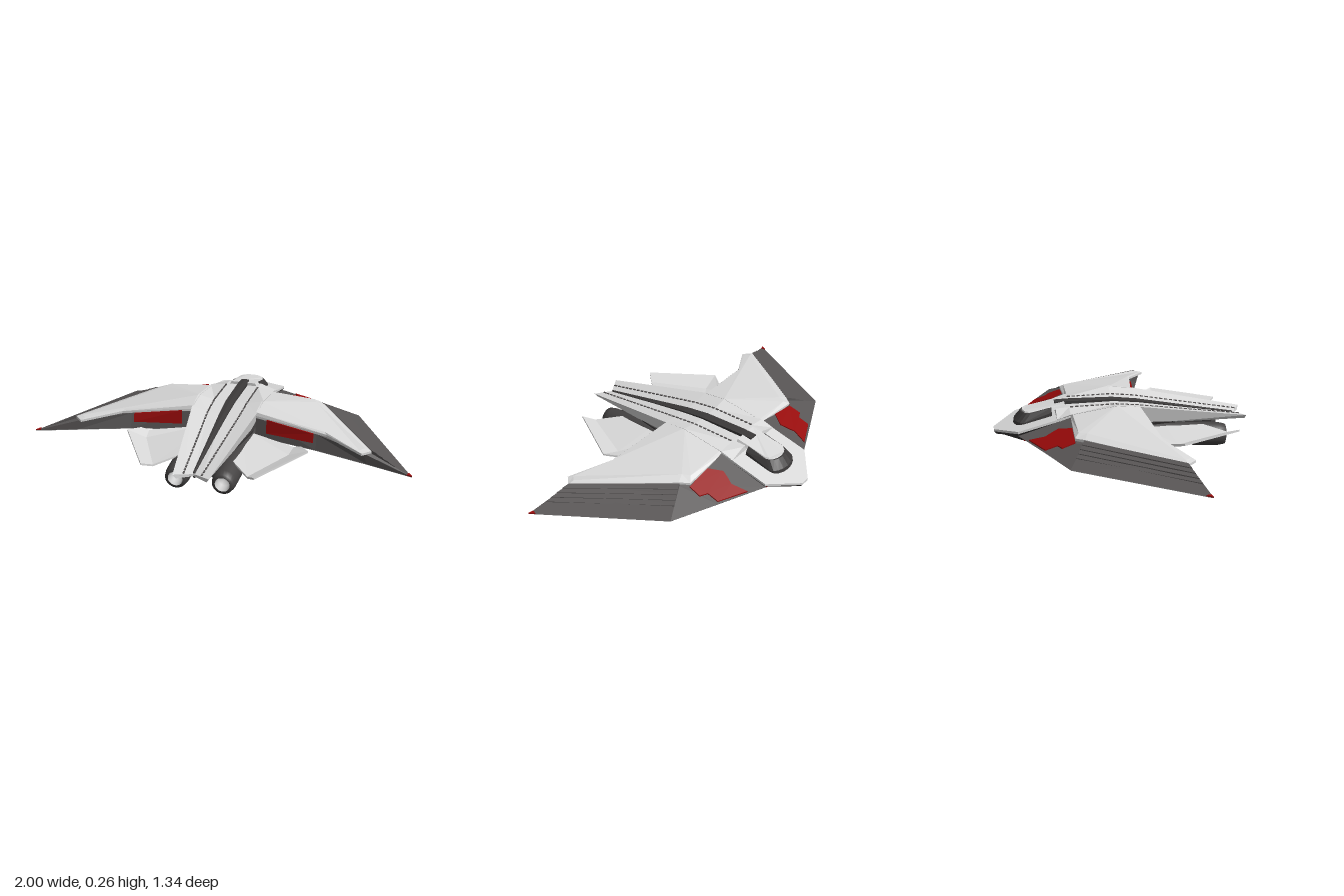
import * as THREE from 'three';

const mat = (name, color, side = THREE.FrontSide, flatShading = true) => {
  const m = new THREE.MeshStandardMaterial({ color, side, flatShading });
  m.name = name;
  return m;
};

// Closed solid skinned through rings of [x, y, z]; axis names the direction the end caps face
function loft(rings, axis = 'y') {
  const out = [];
  const flat = p => new THREE.Vector2(p[0], axis === 'y' ? p[2] : p[1]);
  for (let r = 0; r < rings.length - 1; r++) {
    const A = rings[r], B = rings[r + 1];
    for (let i = 0; i < A.length; i++) {
      const j = (i + 1) % A.length;
      out.push([A[i], A[j], B[j]], [A[i], B[j], B[i]]);
    }
  }
  const cap = (ring, forward) => {
    const pts = ring.map(flat);
    const turn = Math.sign(THREE.ShapeUtils.area(pts));
    for (const [a, b, c] of THREE.ShapeUtils.triangulateShape(pts, [])) {
      const same = Math.sign(THREE.ShapeUtils.area([pts[a], pts[b], pts[c]])) === turn;
      out.push(same === forward ? [ring[a], ring[b], ring[c]] : [ring[a], ring[c], ring[b]]);
    }
  };
  cap(rings[0], false);
  cap(rings[rings.length - 1], true);
  // Turn every face outwards
  let volume = 0;
  for (const [a, b, c] of out) {
    volume += new THREE.Vector3(...a).dot(new THREE.Vector3(...b).cross(new THREE.Vector3(...c)));
  }
  const tris = volume < 0 ? out.map(([a, b, c]) => [a, c, b]) : out;
  const g = new THREE.BufferGeometry();
  g.setAttribute('position', new THREE.Float32BufferAttribute(tris.flat(2), 3));
  g.computeVertexNormals();
  return g;
}

const shift = (ring, dy, dz = 0) => ring.map(([x, y, z]) => [x, y + dy, z + dz]);
const mix = (a, b, t) => a.map((v, i) => v + (b[i] - v) * t);
// Full symmetric ring from a half listed from one centre side to the other
const whole = half => [...half, ...half.slice().reverse().filter(p => p[0] > 1e-6).map(([x, y, z]) => [-x, y, z])];

export function createModel() {
  const group = new THREE.Group();
  const light = mat('lightHull', 0xdadada);
  const dark = mat('darkWing', 0x595656);
  const darker = mat('darkHull', 0x3c3a3a);
  const red = mat('redPaint', 0x980a0a);
  const engineSkin = mat('engineSkin', 0x454343, THREE.DoubleSide, false);
  const nozzleSkin = mat('nozzleLining', 0xc8c8c8, THREE.DoubleSide, false);

  const add = (name, geometry, material) => {
    const m = new THREE.Mesh(geometry, material);
    m.name = name;
    group.add(m);
    return m;
  };
  const both = (name, rings, material, axis) => {
    for (const [side, s] of [['left', 1], ['right', -1]]) {
      add(side + name, loft(rings.map(r => r.map(([x, y, z]) => [s * x, y, z])), axis), material);
    }
  };

  // Dark wing body: sharp outer outline rising to the raised deck
  const wingLow = [[.17, .125, -.55], [.42, .123, -.437], [.65, .115, -.33], [1, .088, .27],
    [.77, .1, .215], [.5, .11, .15], [.17, .12, .09]];
  const wingHigh = [[.17, .215, -.28], [.45, .17, -.28], [.475, .178, -.245], [.785, .157, .2],
    [.75, .155, .21], [.5, .19, .13], [.17, .23, .08]];
  both('WingBody', [wingLow, wingHigh], dark);

  // Light skin under the wing, tucked in from the outline
  const middle = [.5, .1, -.05];
  both('WingUnderside', [wingLow, shift(wingLow.map(p => mix(p, middle, .015)), -.004)], light);

  // Terraced strips between the leading edge and the upper plate
  for (let i = 0; i < 4; i++) {
    const t = .42 + i * .14;
    const ring = [mix(wingLow[2], wingHigh[2], t), mix(wingLow[3], wingHigh[3], t), wingHigh[3], wingHigh[2]];
    both('WingStep' + (i + 1), [shift(ring, -.01), shift(ring, .004 * (i + 1))], dark);
  }

  // Light upper wing plate with a bevelled rim, swept straight out to the tip
  const plateRim = [[.17, .2, -.28], [.44, .182, -.285], [.475, .184, -.24], [.79, .157, .2],
    [.745, .157, .245], [.55, .185, .135], [.17, .222, .085], [.17, .22, -.04]];
  const plateTop = [[.17, .228, -.27], [.41, .212, -.265], [.43, .214, -.225], [.755, .177, .195],
    [.73, .175, .222], [.54, .207, .125], [.17, .252, .08], [.17, .264, -.04]];
  both('WingPlate', [plateRim, shift(plateRim, .012), plateTop], light);

  // Red paint on the front slope, the trailing face and the wing tips
  const slope = [[.26, -.5], [.41, -.43], [.41, -.37], [.45, -.35], [.445, -.285], [.30, -.285], [.255, -.35], [.27, -.39], [.285, -.42]]
    .map(([x, z]) => [x, .215 - .16 * (x - .17) + .333 * (z + .28), z]);
  both('FrontRedPatch', [shift(slope, -.002), shift(slope, .006)], red);
  const face = (t, u) => mix(mix(wingLow[6], wingLow[5], t), mix(wingHigh[6], wingHigh[5], t), u);
  const rear = [face(.18, .3), face(.95, .45), face(.95, 1), face(.18, 1)];
  both('RearRedPatch', [shift(rear, 0, -.001), shift(rear, 0, .008)], red, 'z');
  const tip = [wingLow[3], mix(wingLow[3], wingLow[2], .05), mix(wingLow[3], wingLow[4], .12)];
  both('TipRedPatch', [tip, shift(tip, .006)], red);

  // Nose plate, sloping down to a blunt point, light above and dark below
  const noseRing = whole([[0, 0, -.28], [.18, 0, -.28], [.18, 0, -.55], [.025, 0, -.67]])
    .map(([x, , z]) => [x, .222 + .27 * (z + .28), z]);
  add('nosePlate', loft([shift(noseRing, -.012), noseRing]), light);
  add('noseUnderside', loft([shift(noseRing.map(([x, y, z]) => [x * .94, y, z + .012]), -.026), shift(noseRing, -.012)]), darker);

  // Cockpit: dark rounded surround with a light hood
  const arch = (w, zFront, zBack, yFront, yBack) => {
    const ring = [[w, yBack, zBack]];
    for (let i = 0; i <= 8; i++) {
      const a = i / 8 * Math.PI;
      ring.push([w * Math.cos(a), yFront, zFront + .05 * (1 - Math.sin(a))]);
    }
    ring.push([-w, yBack, zBack]);
    return ring;
  };
  add('cockpitSurround', loft([arch(.095, -.57, -.37, .13, .18), arch(.092, -.565, -.37, .165, .215),
    arch(.074, -.53, -.37, .207, .236)]), darker);
  add('cockpitHood', loft([arch(.076, -.525, -.3, .2, .235), arch(.068, -.52, -.3, .215, .252)]), light);

  // Light spine from cockpit to forked tail: [z, half width, shoulder y, crease y, bottom y]
  const spine = [[-.35, .18, .205, .235, .17], [-.28, .18, .228, .24, .17], [-.04, .18, .265, .245, .16],
    [.09, .175, .25, .232, .15], [.62, .09, .15, .146, .13]];
  add('spine', loft(spine.map(([z, w, top, mid, low], i) => {
    const k = i === 4 ? .05 : 0;
    return whole([[0, mid - .005, z], [w * .5, mid, z + k * .5], [w, top, z + k],
      [w * .85, low, z + k * .9], [0, low, z]]);
  }), 'z'), light);

  // Dark centre strip
  const strip = [[-.35, .022, .253], [-.28, .025, .255], [-.04, .025, .253], [.09, .022, .239], [.615, .006, .149]];
  add('centreStrip', loft(strip.map(([z, w, y]) => whole([[0, y, z], [w, y - .003, z], [w, y - .03, z], [0, y - .03, z]])), 'z'), darker);

  // Dashed seams along the spine creases
  const seam = [[.09, .241, -.28], [.09, .246, -.04], [.0875, .233, .09], [.045, .147, .645]];
  const dash = new THREE.BoxGeometry(.008, .006, .017);
  [9, 5, 21].forEach((count, i) => {
    for (let n = 0; n < count; n++) {
      const p = mix(seam[i], seam[i + 1], (n + .5) / count);
      for (const s of [-1, 1]) {
        const m = add('seamDash', dash, dark);
        m.position.set(s * p[0], p[1], p[2]);
        m.rotation.set(Math.atan2(seam[i][1] - seam[i + 1][1], seam[i + 1][2] - seam[i][2]),
          s * Math.atan2(seam[i + 1][0] - seam[i][0], seam[i + 1][2] - seam[i][2]), 0);
      }
    }
  });

  // Dark lower hull: [z, top half width, bottom half width, top y, bottom y]
  const hull = [[-.655, .025, .015, .108, .095], [-.53, .165, .09, .135, .073], [-.28, .175, .12, .19, .06],
    [-.05, .175, .13, .2, .048], [.1, .165, .11, .16, .052], [.48, .085, .07, .135, .06]];
  add('lowerHull', loft(hull.map(([z, a, b, top, low]) =>
    whole([[0, top, z], [a, top, z], [(a + b) / 2, (top + low) / 2, z], [b, low, z], [0, low, z]])), 'z'), darker);
  both('BellyRedStripe', [[-.52, .118, .076], [-.3, .145, .073]].map(([z, x, y]) =>
    [[x - .03, y, z], [x + .002, y, z], [x + .008, y + .018, z], [x - .02, y + .018, z]]), red, 'z');

  // Engines, tilted slightly tail-down, with light-lined nozzles; profiles are [radius, z]
  const lathe = pts => new THREE.LatheGeometry(pts.map(p => new THREE.Vector2(...p)), 24).rotateX(Math.PI / 2);
  const engine = lathe([[.001, -.34], [.03, -.25], [.05, -.05], [.058, .15], [.063, .4], [.061, .51], [.054, .543], [.038, .548]]);
  const nozzle = lathe([[.038, .548], [.034, .5], [.02, .48], [.001, .48]]);
  for (const [side, s] of [['left', 1], ['right', -1]]) {
    for (const [part, geometry, material] of [['Engine', engine, engineSkin], ['Nozzle', nozzle, nozzleSkin]]) {
      const m = add(side + part, geometry, material);
      m.position.set(s * .12, .1, 0);
      m.rotation.x = .07;
    }
  }

  // Small curved fins beside the engines
  const fin = [
    [[.14, .135, .08], [.39, .122, .165], [.43, .138, .18]],
    [[.14, .135, .22], [.38, .112, .24], [.48, .15, .25]],
    [[.14, .13, .42], [.24, .115, .53], [.285, .14, .58]],
  ];
  both('Fin', fin.map(top => [...top, ...shift(top, -.01).reverse()]), light, 'z');

  // Settle on the ground
  const box = new THREE.Box3().setFromObject(group);
  for (const child of group.children) child.position.y -= box.min.y;
  return group;
}
